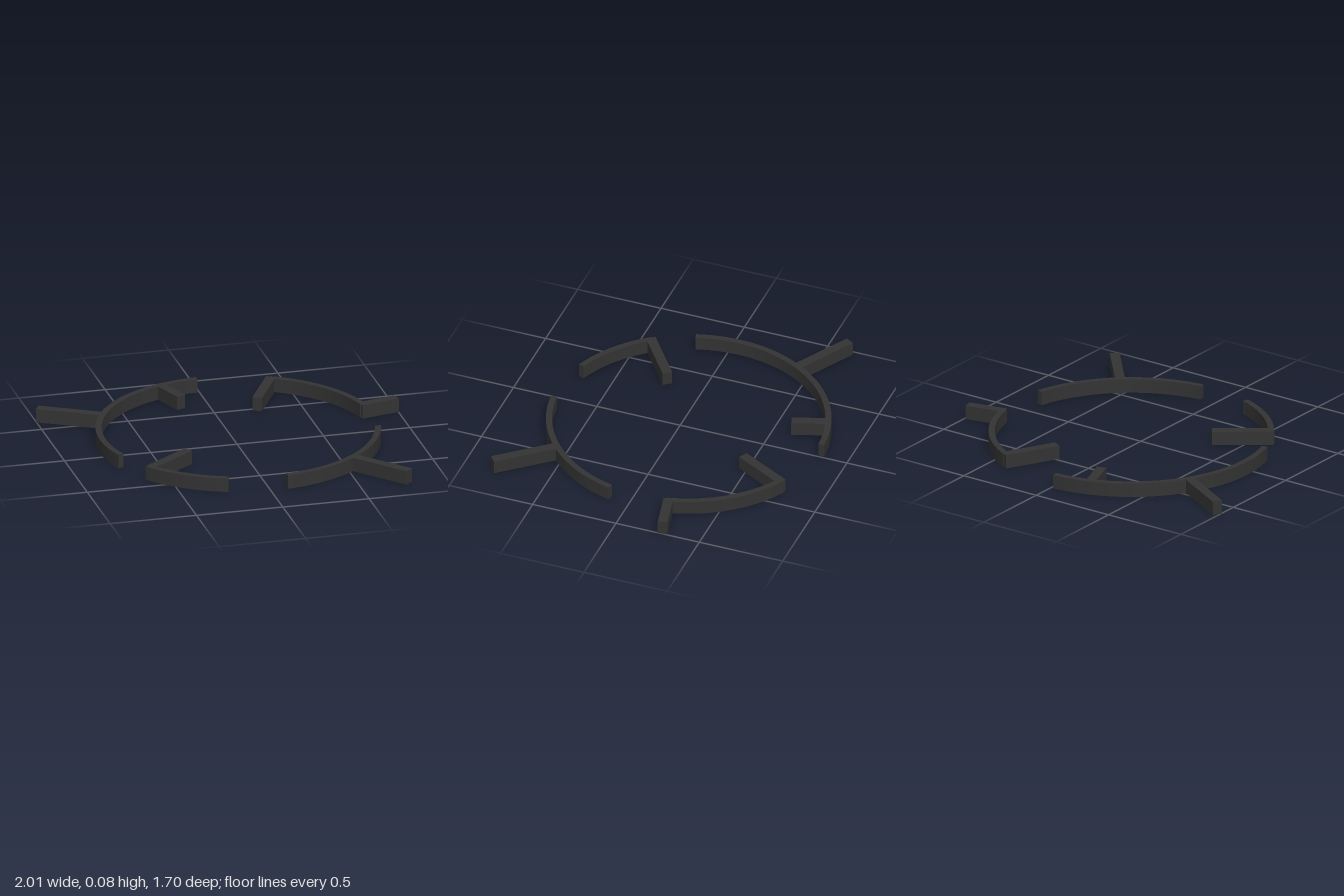
import * as THREE from 'three';

const HEIGHT = 0.08;
const INNER = 0.765, OUTER = 0.8, BAR_WIDTH = 0.056;
const rad = THREE.MathUtils.degToRad;

// Angles are in degrees, from +x towards +z.
// Wall sections of the broken ring: [name, start, end]
const ARCS = [
  ['backRightArc', 161.8, 267.5],
  ['frontLeftArc', 13.1, 84.4],
  ['frontRightArc', 108.7, 144],
  ['backLeftArc', -62.2, -12],
];

// Radial bars: [name, angle, inner radius, outer radius]
const BARS = [
  ['backRightOuterBar', 209.7, 0.77, 1.165],
  ['backInnerBar', 251, 0.575, 0.785],
  ['backLeftInnerBar', -61.9, 0.463, 0.795],
  ['leftOuterBar', -12.6, 0.77, 0.998],
  ['frontLeftOuterBar', 49.5, 0.77, 1.165],
  ['frontRightInnerBar', 143.4, 0.45, 0.795],
];

export function createModel() {
  const model = new THREE.Group();
  model.name = 'brokenRing';
  const material = new THREE.MeshStandardMaterial({ color: 0x333333 });

  // Curved walls
  for (const [name, start, end] of ARCS) {
    const shape = new THREE.Shape();
    shape.absarc(0, 0, OUTER, rad(start), rad(end), false);
    shape.absarc(0, 0, INNER, rad(end), rad(start), true);
    const geometry = new THREE.ExtrudeGeometry(shape, {
      depth: HEIGHT, bevelEnabled: false, curveSegments: 48,
    });
    geometry.rotateX(Math.PI / 2).translate(0, HEIGHT, 0);
    const arc = new THREE.Mesh(geometry, material);
    arc.name = name;
    model.add(arc);
  }

  // Straight bars pointing inwards or outwards
  for (const [name, angle, r0, r1] of BARS) {
    const geometry = new THREE.BoxGeometry(r1 - r0, HEIGHT, BAR_WIDTH);
    geometry.translate((r0 + r1) / 2, HEIGHT / 2, 0);
    const bar = new THREE.Mesh(geometry, material);
    bar.name = name;
    bar.rotation.y = -rad(angle);
    model.add(bar);
  }

  // The ring centre sits slightly off the middle of the footprint
  model.position.set(0.022, 0, -0.06);
  const root = new THREE.Group();
  root.name = 'ringModel';
  root.add(model);
  return root;
}
